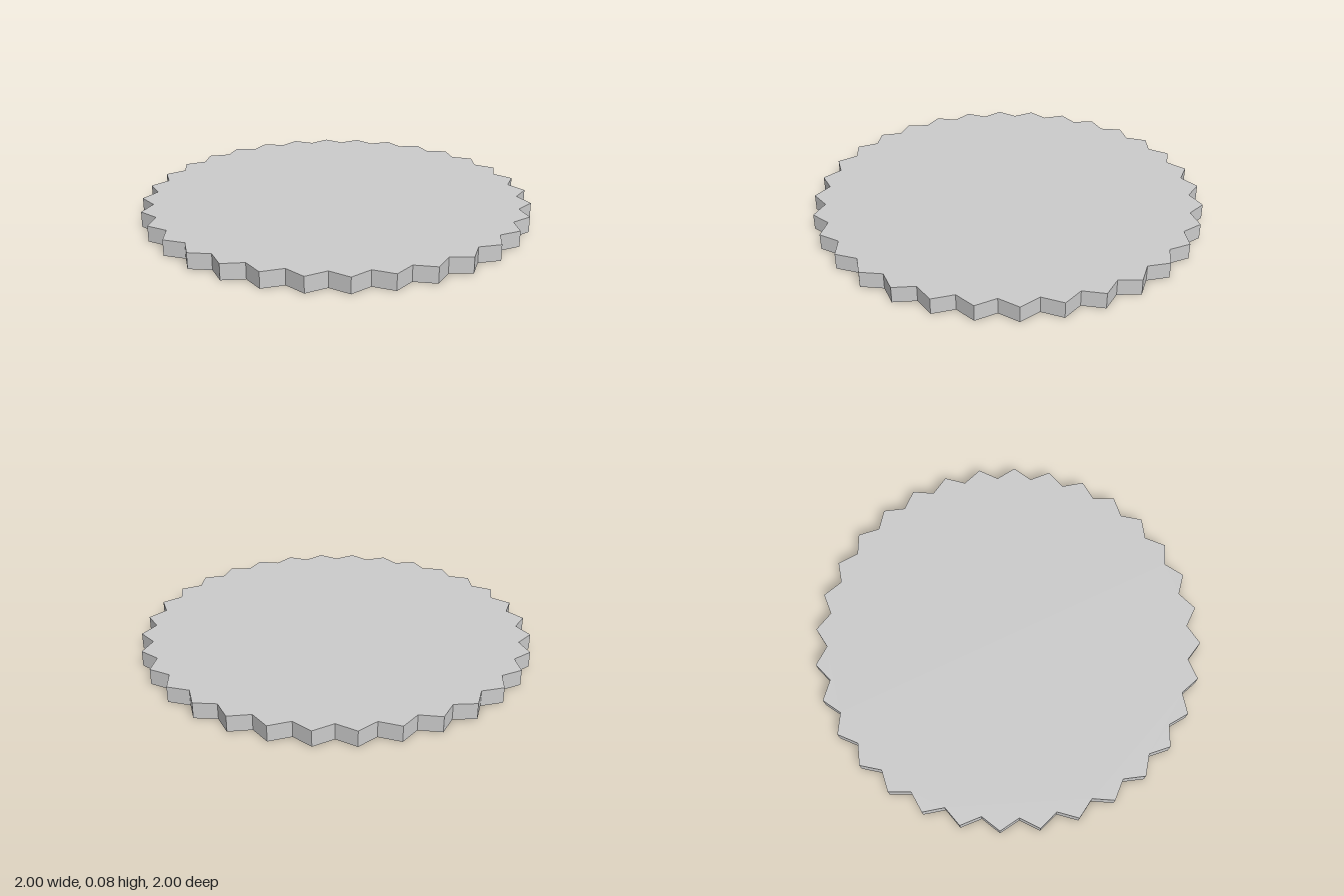
import * as THREE from 'three';

export function createModel() {
  const teeth = 32, tipRadius = 1.0048, valleyRadius = 0.943, height = 0.08;

  // Zigzag outline: valleys lie on the axes, tips halfway between them
  const outline = [];
  for (let i = 0; i < teeth * 2; i++) {
    const angle = (i * Math.PI) / teeth;
    const radius = i % 2 ? tipRadius : valleyRadius;
    outline.push(new THREE.Vector2(Math.cos(angle) * radius, Math.sin(angle) * radius));
  }

  // Flat plate standing on the ground
  const geometry = new THREE.ExtrudeGeometry(new THREE.Shape(outline), {
    depth: height,
    bevelEnabled: false,
  });
  geometry.rotateX(-Math.PI / 2);

  const disc = new THREE.Mesh(
    geometry,
    new THREE.MeshStandardMaterial({ color: 0xcccccc, flatShading: true })
  );
  disc.name = 'toothedDisc';

  const group = new THREE.Group();
  group.name = 'serratedPlate';
  group.add(disc);
  return group;
}
